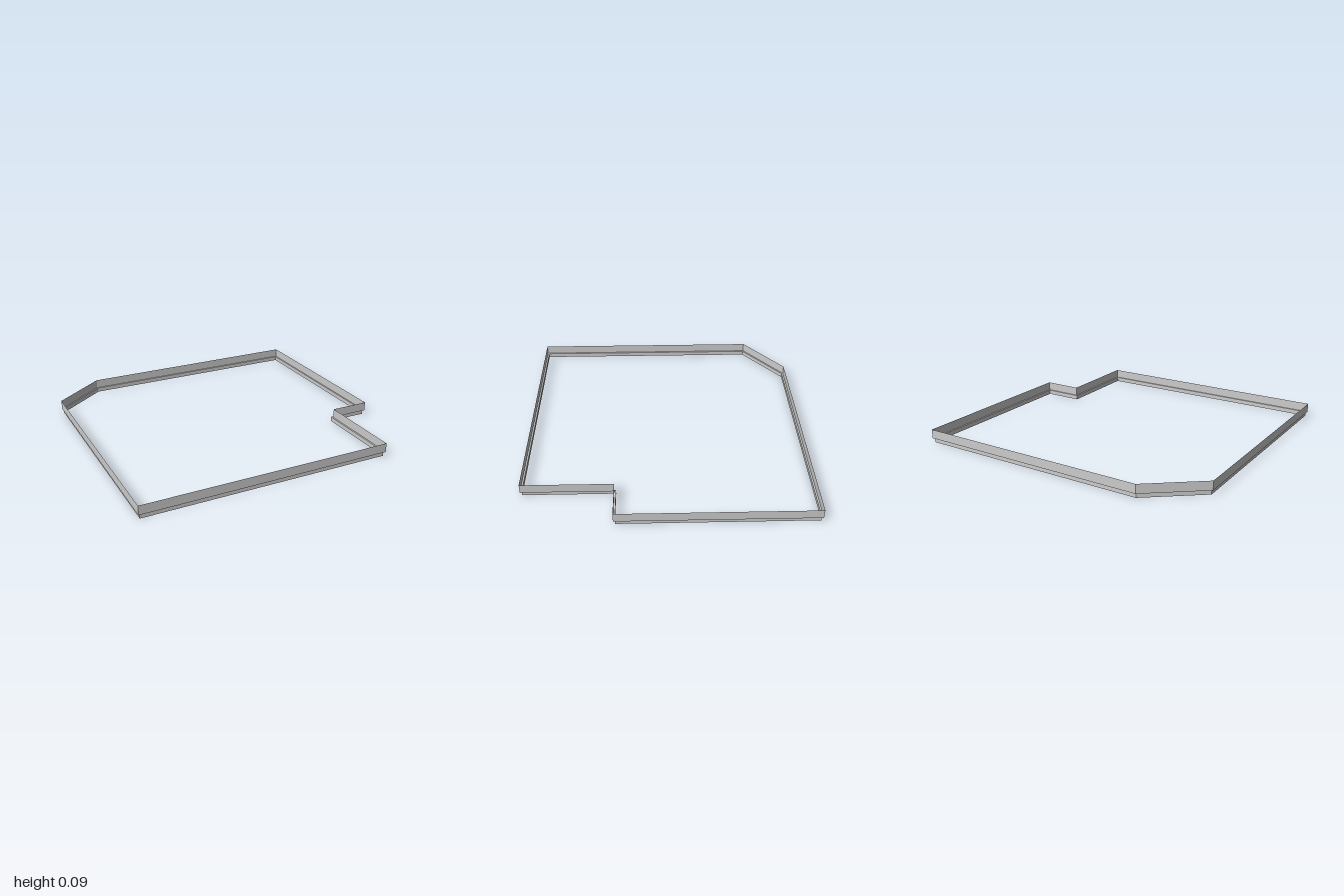
import * as THREE from 'three';

// Outline corners as (x, z), in order around the plan
const OUTLINE = [
  [-1, 0.953], [0.724, 0.953], [0.724, 0.347], [1, 0.347],
  [1, -0.953], [-0.642, -0.953], [-1, -0.674],
].map(([x, z]) => new THREE.Vector2(x, z));
const INSET = 0.011, LEDGE_Y = 0.031, TOP_Y = 0.094;

// Shift every edge inwards by d, with mitred corners
function insetOutline(points, d) {
  const n = points.length;
  const inward = (a, b) => {
    const e = b.clone().sub(a).normalize();
    return new THREE.Vector2(e.y, -e.x);
  };
  return points.map((p, i) => {
    const n1 = inward(points[(i + n - 1) % n], p);
    const n2 = inward(p, points[(i + 1) % n]);
    return n1.clone().add(n2).multiplyScalar(d / (1 + n1.dot(n2))).add(p);
  });
}

// Closed strip joining a lower loop to an upper loop
function strip(name, low, lowY, high, highY, material) {
  const pos = [];
  low.forEach((a, i) => {
    const j = (i + 1) % low.length;
    const b = low[j], c = high[j], d = high[i];
    pos.push(a.x, lowY, a.y, b.x, lowY, b.y, c.x, highY, c.y);
    pos.push(a.x, lowY, a.y, c.x, highY, c.y, d.x, highY, d.y);
  });
  const geometry = new THREE.BufferGeometry();
  geometry.setAttribute('position', new THREE.Float32BufferAttribute(pos, 3));
  geometry.computeVertexNormals();
  const mesh = new THREE.Mesh(geometry, material);
  mesh.name = name;
  return mesh;
}

export function createModel() {
  const group = new THREE.Group();
  group.name = 'steppedPerimeterTrim';
  const material = new THREE.MeshStandardMaterial({
    color: 0xcccccc, flatShading: true, side: THREE.DoubleSide,
  });
  const inner = insetOutline(OUTLINE, INSET);
  group.add(
    strip('lowerBand', inner, 0, inner, LEDGE_Y, material),
    strip('ledge', OUTLINE, LEDGE_Y, inner, LEDGE_Y, material),
    strip('upperBand', OUTLINE, LEDGE_Y, OUTLINE, TOP_Y, material),
  );
  return group;
}
